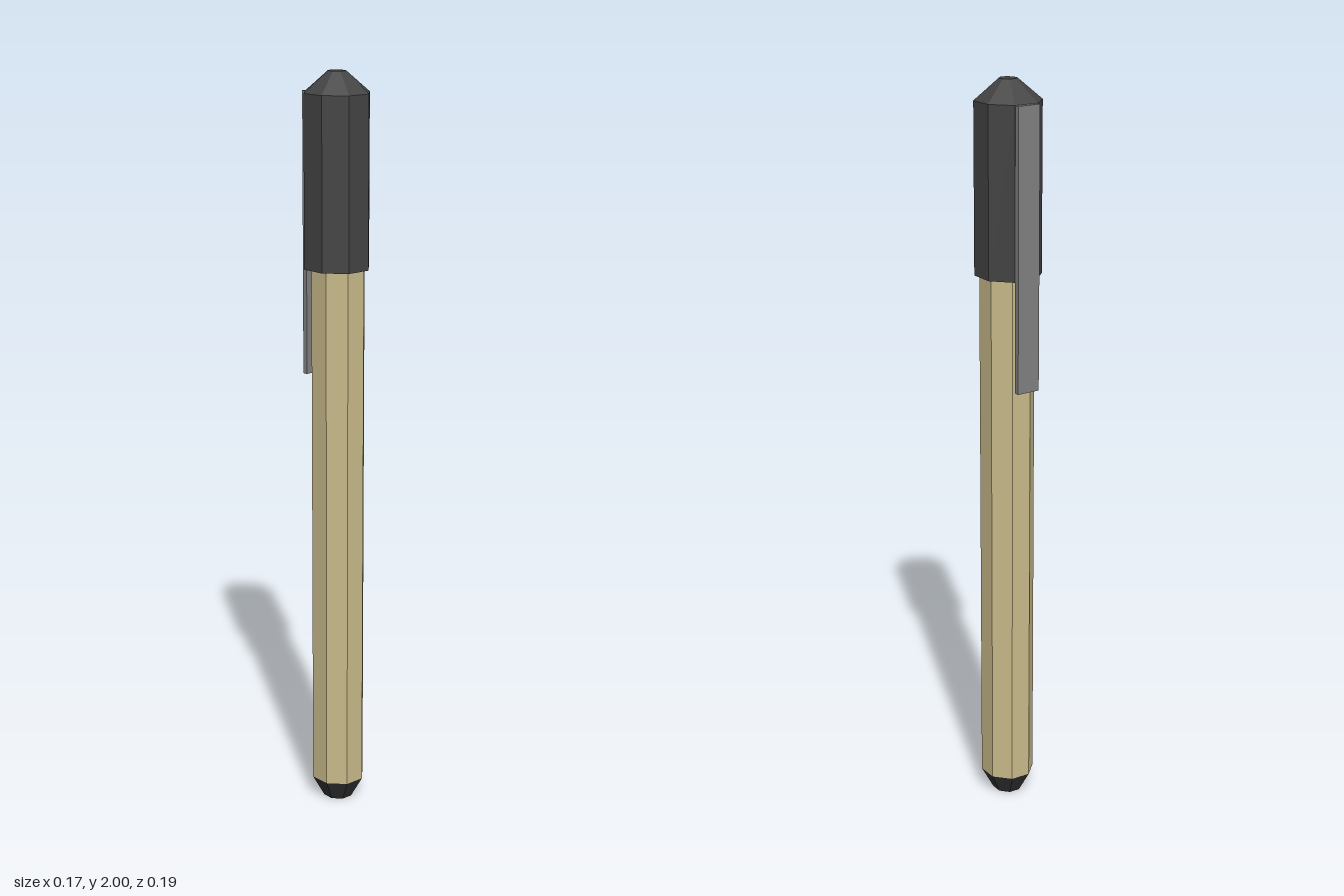
import * as THREE from 'three';

const material = (color) => new THREE.MeshStandardMaterial({ color, flatShading: true });

// Eight-sided, slightly oval section with flats facing front and back
function octagon(name, topRadius, bottomRadius, y0, y1, z, mat) {
  const geometry = new THREE.CylinderGeometry(topRadius, bottomRadius, y1 - y0, 8);
  geometry.rotateY(Math.PI / 8);
  geometry.scale(0.985, 1, 1.035);
  geometry.rotateY(-0.06);
  const mesh = new THREE.Mesh(geometry, mat);
  mesh.name = name;
  mesh.position.set(-0.001, (y0 + y1) / 2, z);
  return mesh;
}

export function createModel() {
  const pen = new THREE.Group();
  pen.name = 'pen';
  const dark = material(0x444444);
  const tan = material(0xc8ba8a);
  const grey = material(0x808080);

  // Barrel and tapered foot
  pen.add(octagon('foot', 0.073, 0.04, 0, 0.06, 0.01, material(0x333333)));
  pen.add(octagon('barrel', 0.073, 0.073, 0.06, 1.6, 0.01, tan));

  // Cap with a tapered crown
  pen.add(octagon('cap', 0.089, 0.089, 1.495, 1.945, 0.005, dark));
  pen.add(octagon('crown', 0.024, 0.089, 1.945, 2, 0.005, dark));

  // Flat clip on the back
  const clip = new THREE.Mesh(new THREE.BoxGeometry(0.066, 0.745, 0.014), grey);
  clip.name = 'clip';
  clip.position.set(0.005, 1.5725, -0.087);
  pen.add(clip);

  return pen;
}
